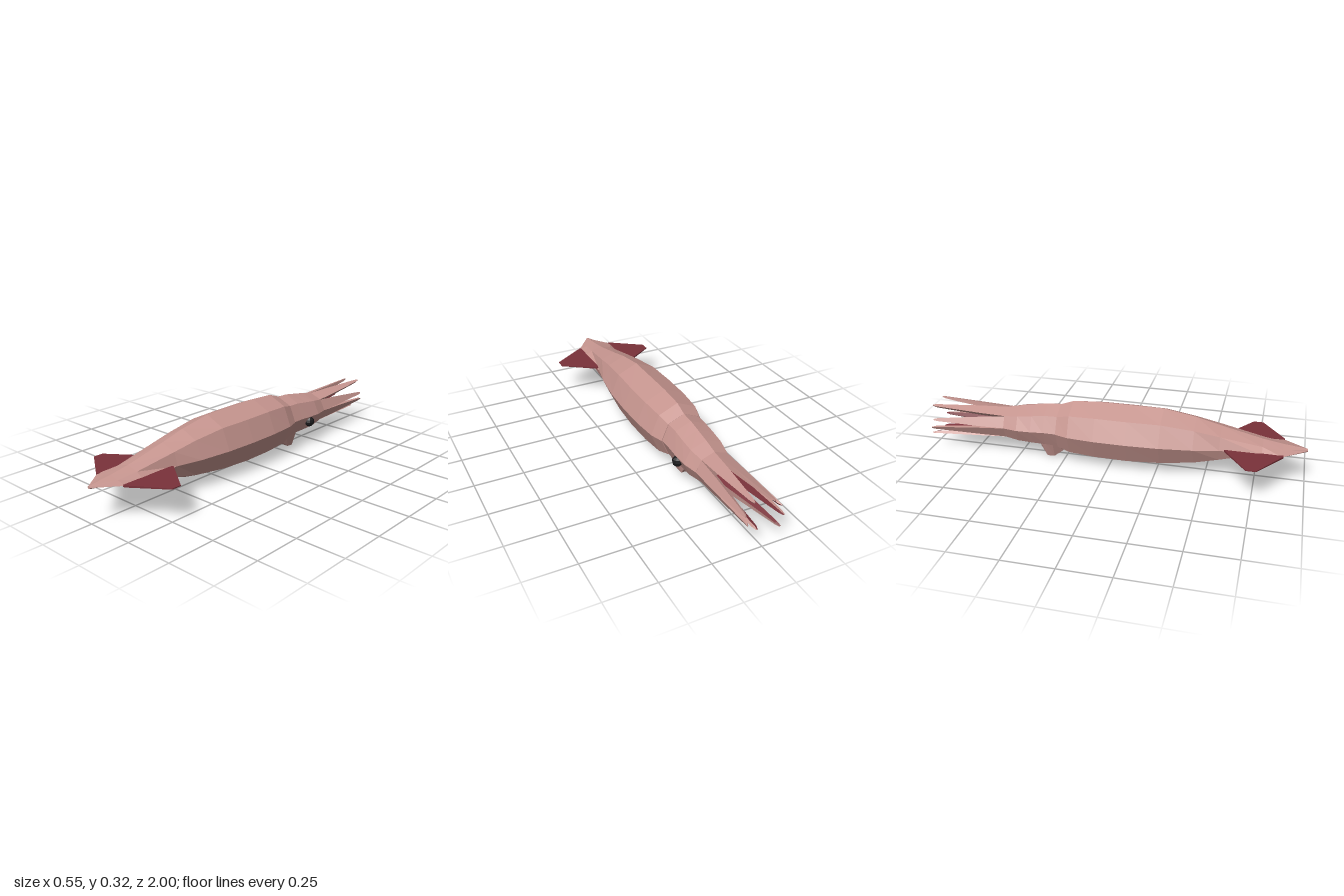
import * as THREE from 'three';

const material = (name, color, extra = {}) => {
  const m = new THREE.MeshStandardMaterial({ color, flatShading: true, ...extra });
  m.name = name;
  return m;
};

// Skin over cross-sections that run towards -z; one side may take the second material
function loft(rings, accentSide = -1) {
  const main = [], accent = [];
  const n = rings[0].length;
  const tri = (list, ...pts) => pts.forEach((p) => list.push(...p));
  for (let i = 0; i < rings.length - 1; i++) {
    for (let j = 0; j < n; j++) {
      const k = (j + 1) % n;
      const [a, b, c, d] = [rings[i][j], rings[i][k], rings[i + 1][j], rings[i + 1][k]];
      const list = j === accentSide ? accent : main;
      tri(list, a, c, b);
      tri(list, b, c, d);
    }
  }
  const first = rings[0], last = rings[rings.length - 1];
  for (let j = 1; j < n - 1; j++) {
    tri(main, first[0], first[j], first[j + 1]);
    tri(main, last[0], last[j + 1], last[j]);
  }
  const g = new THREE.BufferGeometry();
  g.setAttribute('position', new THREE.Float32BufferAttribute([...main, ...accent], 3));
  g.addGroup(0, main.length / 3, 0);
  if (accent.length) g.addGroup(main.length / 3, accent.length / 3, 1);
  g.computeVertexNormals();
  return g;
}

// Eight-sided section with a corner at the top; diag sets how far the slanted corners bulge
function octagon([z, w, top, bottom, mid, diagX = 0.7, diagY = 0.7]) {
  return Array.from({ length: 8 }, (_, i) => {
    const slanted = i % 2 === 1;
    const cx = Math.sign(Math.round(Math.cos(i * Math.PI / 4) * 10));
    const sy = Math.sign(Math.round(Math.sin(i * Math.PI / 4) * 10));
    const h = sy > 0 ? top - mid : mid - bottom;
    return [cx * w * (slanted ? diagX : 1), mid + sy * h * (slanted ? diagY : 1), z];
  });
}

export function createModel() {
  const skin = material('pink skin', 0xc6958f);
  const maroon = material('maroon', 0x7a323a);
  const black = material('eye black', 0x1a1a1c);
  const model = new THREE.Group();
  const add = (name, geometry, mat, parent = model) => {
    const mesh = new THREE.Mesh(geometry, mat);
    mesh.name = name;
    parent.add(mesh);
    return mesh;
  };

  // Mantle, from the flattened tail tip to the collar
  add('mantle', loft([
    [1.0, 0.008, 0.186, 0.17, 0.178],
    [0.88, 0.1, 0.2, 0.165, 0.176, 0.5, 0.5],
    [0.78, 0.1, 0.216, 0.152, 0.175, 0.6, 0.6],
    [0.57, 0.1, 0.265, 0.085, 0.172, 0.8, 0.7],
    [0.44, 0.128, 0.298, 0.045, 0.17],
    [0.27, 0.15, 0.327, 0.022, 0.17],
    [0.1, 0.158, 0.327, 0.011, 0.17],
    [-0.07, 0.157, 0.327, 0.013, 0.17],
    [-0.21, 0.145, 0.318, 0.022, 0.17],
    [-0.28, 0.123, 0.292, 0.045, 0.17],
  ].map(octagon)), skin);

  // Head
  const headEnd = octagon([-0.58, 0.098, 0.244, 0.072, 0.16]);
  add('head', loft([
    octagon([-0.27, 0.12, 0.292, 0.048, 0.17]),
    octagon([-0.35, 0.119, 0.288, 0.052, 0.17]),
    octagon([-0.42, 0.12, 0.276, 0.055, 0.166]),
    octagon([-0.5, 0.117, 0.262, 0.06, 0.163]),
    headEnd,
  ]), skin);

  // Siphon below the neck
  const siphonRing = (z, top, bottom, w) => [
    [w, top, z], [-w, top, z], [-w * 0.6, bottom, z], [w * 0.6, bottom, z],
  ];
  add('siphon', loft([
    siphonRing(-0.26, 0.1, 0.045, 0.08),
    siphonRing(-0.31, 0.1, 0.006, 0.085),
    siphonRing(-0.35, 0.1, 0.002, 0.08),
    siphonRing(-0.385, 0.1, 0.055, 0.07),
  ]), skin);

  // Eye on the model's left
  add('eye', new THREE.SphereGeometry(0.028, 8, 6), black).position.set(0.11, 0.135, -0.425);

  // Tail fins, thinning towards the tips
  for (const side of [1, -1]) {
    const fin = new THREE.Shape([
      [0.09, 0.595], [0.1, 0.595], [0.275, 0.715], [0.275, 0.765], [0.1, 0.885], [0.09, 0.885],
    ].map(([x, z]) => new THREE.Vector2(side * x, -z)));
    const g = new THREE.ExtrudeGeometry(fin, { depth: 0.01, bevelEnabled: false });
    g.rotateX(-Math.PI / 2).translate(0, 0.17, 0);
    const p = g.attributes.position;
    for (let i = 0; i < p.count; i++) {
      if (Math.abs(p.getX(i)) > 0.2) p.setY(i, 0.175 + (p.getY(i) - 0.175) * 0.5);
    }
    g.computeVertexNormals();
    add(side > 0 ? 'leftFin' : 'rightFin', g, maroon);
  }

  // Eight arms, each growing from one edge of the head's end, with a maroon inner face
  const arms = new THREE.Group();
  arms.name = 'arms';
  model.add(arms);
  const tips = [
    [0.08, 0.172], [0.048, 0.245], [-0.052, 0.232], [-0.108, 0.172],
    [-0.115, 0.125], [-0.088, 0.08], [0.015, 0.078], [0.075, 0.13],
  ];
  const stages = [[0, 1, 0.03], [0.35, 0.78, 0.026], [0.75, 0.42, 0.017], [0.95, 0.24, 0.011], [1, 0.1, 0.005]];
  tips.forEach(([tx, ty], i) => {
    const a = headEnd[i], b = headEnd[(i + 1) % 8];
    const mx = (a[0] + b[0]) / 2, my = (a[1] + b[1]) / 2;
    const len = Math.hypot(mx, my - 0.16);
    const nx = mx / len, ny = (my - 0.16) / len;
    const end = -0.975 - (i % 3) * 0.012;
    const rings = stages.map(([t, width, depth]) => {
      const cx = mx + (tx - mx) * t, cy = my + (ty - my) * t;
      const z = -0.57 + (end + 0.57) * t;
      const corner = (p, inset, s) => [
        cx + (p[0] - mx) * width * s - nx * inset, cy + (p[1] - my) * width * s - ny * inset, z,
      ];
      return [corner(a, 0, 1), corner(b, 0, 1), corner(b, depth, 0.7), corner(a, depth, 0.7)];
    });
    add('arm' + (i + 1), loft(rings, 2), [skin, maroon], arms);
  });

  return model;
}
